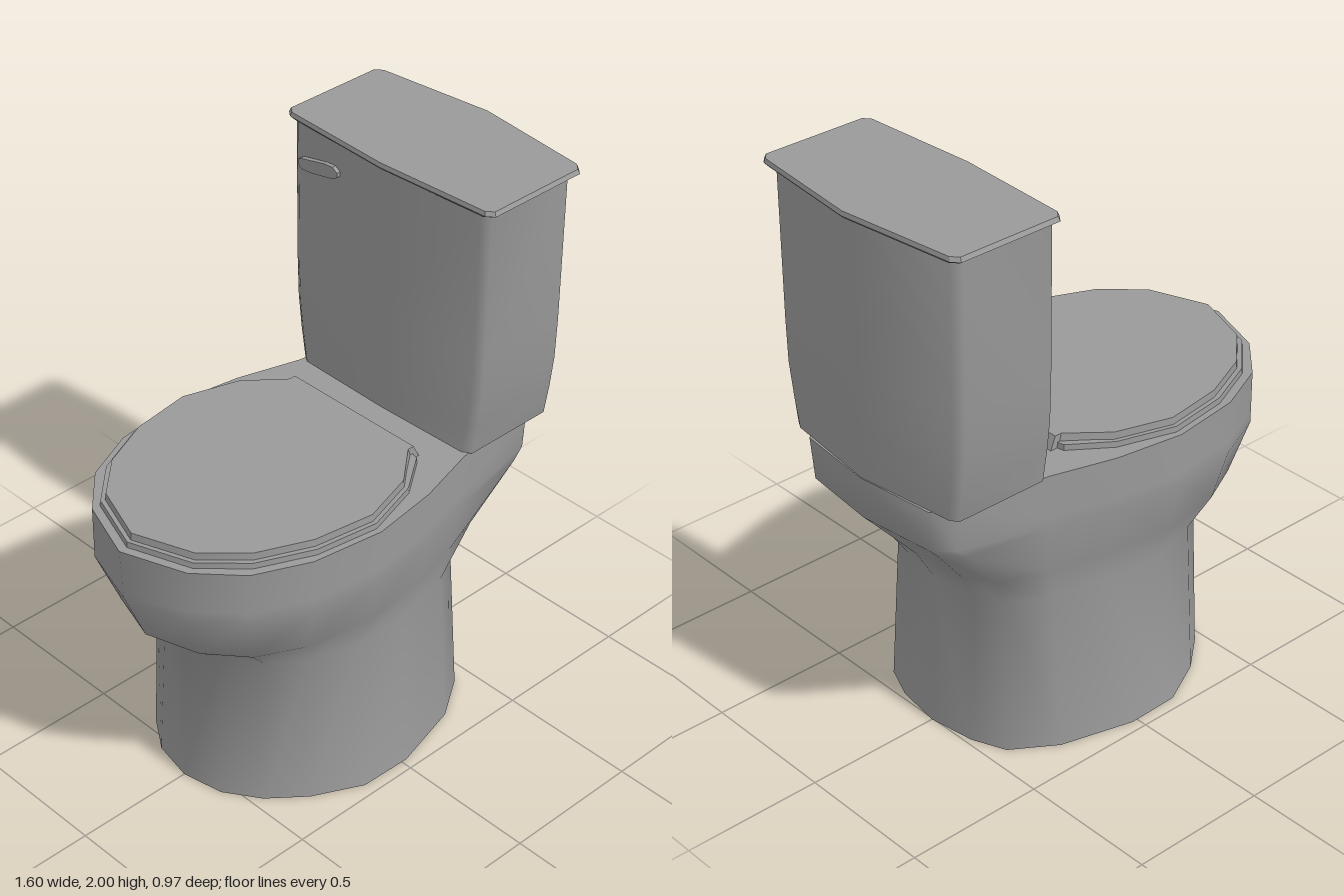
import * as THREE from 'three';
import { toCreasedNormals } from 'three/addons/utils/BufferGeometryUtils.js';

const material = new THREE.MeshStandardMaterial({ color: 0x999999, side: THREE.DoubleSide });

// Mirrors a half outline [x, z] (running from -x to +x on the +z side) into a closed loop
function fullLoop(half) {
  const back = half.slice(1, -1).reverse().map(([x, z]) => [x, -z]);
  return [...half, ...back];
}

// Skins a stack of { y, half } sections, with a top cap and an optional bottom cap
function loft(name, sections, { bottom = false, crease = 1.3 } = {}) {
  const rings = sections.map(({ y, half }) =>
    fullLoop(half).map(([x, z]) => new THREE.Vector3(x, y, z)));
  const n = rings[0].length;
  const points = [];
  const cap = (ring, up) => {
    const centre = new THREE.Vector3();
    ring.forEach((p) => centre.addScaledVector(p, 1 / n));
    for (let j = 0; j < n; j++) {
      const a = ring[j], b = ring[(j + 1) % n];
      points.push(centre, up ? a : b, up ? b : a);
    }
  };
  for (let i = 0; i < rings.length - 1; i++) {
    for (let j = 0; j < n; j++) {
      const k = (j + 1) % n;
      const a = rings[i][j], b = rings[i][k], c = rings[i + 1][k], d = rings[i + 1][j];
      // The diagonals mirror from one side to the other
      if (j < n / 2) points.push(a, b, c, a, c, d);
      else points.push(a, b, d, b, c, d);
    }
  }
  cap(rings[rings.length - 1], true);
  if (bottom) cap(rings[0], false);
  const geometry = new THREE.BufferGeometry().setFromPoints(points);
  const mesh = new THREE.Mesh(toCreasedNormals(geometry, crease), material);
  mesh.name = name;
  return mesh;
}

// Shrinks an outline about a point on the x axis
const inset = (half, s, cx) => half.map(([x, z]) => [cx + (x - cx) * s, z * s]);

export function createModel() {
  const model = new THREE.Group();
  model.name = 'toilet';

  // Pedestal flaring into the bowl, open underneath
  const foot = [[-.57, 0], [-.54, .15], [-.46, .27], [-.34, .37], [-.17, .455],
    [.02, .46], [.28, .39], [.43, .29], [.48, .17], [.505, 0]];
  const waist = [[-.54, 0], [-.51, .14], [-.44, .26], [-.33, .345], [-.15, .4],
    [.06, .395], [.28, .345], [.41, .265], [.455, .16], [.48, 0]];
  const belly = [[-.71, 0], [-.65, .19], [-.54, .32], [-.38, .4], [-.15, .44],
    [.09, .415], [.3, .36], [.46, .305], [.53, .2], [.55, 0]];
  const rim = [[-.8, 0], [-.72, .225], [-.59, .365], [-.4, .45], [-.145, .485],
    [.1, .45], [.33, .385], [.67, .342], [.735, .29], [.765, 0]];
  // Rim outline with its front and rear ends drawn in
  const rimTo = (front, rear) => [[front, 0], ...rim.slice(1, 7),
    [rear - .095, .338], [rear - .03, .28], [rear, 0]];
  model.add(loft('bowl', [
    { y: .005, half: foot },
    { y: .57, half: waist },
    { y: .69, half: belly },
    { y: .88, half: rimTo(-.79, .72) },
    { y: .92, half: rimTo(-.793, .757) },
    { y: 1.07, half: rim },
  ]));

  // Seat ring under the lid
  const seat = [[-.77, 0], [-.692, .22], [-.56, .348], [-.37, .432], [-.145, .464],
    [.06, .402], [.195, .305], [.2, .28], [.2, 0]];
  model.add(loft('seat', [
    { y: 1.065, half: seat },
    { y: 1.09, half: inset(seat, .995, -.2) },
  ], { crease: .5 }));

  // Closed lid, with a sloping rear edge
  const lid = [[-.755, 0], [-.678, .213], [-.547, .337], [-.363, .417], [-.145, .449],
    [.055, .388], [.195, .28], [.228, .28], [.228, 0]];
  const lidTop = [...inset(lid.slice(0, 6), .99, -.2), [.18, .277], [.205, .277], [.205, 0]];
  model.add(loft('seatLid', [
    { y: 1.068, half: lid },
    { y: 1.115, half: lidTop },
  ], { crease: .5 }));

  // Tank, bowed front and back, narrowing towards its foot
  const tankSection = (y, z, rear) => ({
    y, half: [[.332, 0], [.34, z - .03], [.36, z], [.7, z], [rear - .045, z - .03], [rear, 0]],
  });
  model.add(loft('tank', [
    tankSection(1.068, .39, .762),
    tankSection(1.18, .408, .766),
    tankSection(1.3, .422, .77),
    tankSection(1.45, .427, .77),
    tankSection(1.98, .43, .77),
  ], { bottom: true }));

  // Tank cover with bevelled edges
  const cover = [[.307, 0], [.33, .43], [.35, .455], [.728, .455], [.75, .43], [.797, 0]];
  model.add(loft('tankCover', [
    { y: 1.975, half: inset(cover, .965, .55) },
    { y: 1.985, half: cover },
    { y: 2, half: inset(cover, .985, .55) },
  ], { bottom: true, crease: .5 }));

  // Flush lever on the tank's bowl side
  const outline = new THREE.Shape([
    [-.385, 1.835], [-.37, 1.82], [-.33, 1.822], [-.225, 1.842], [-.205, 1.855],
    [-.205, 1.872], [-.225, 1.885], [-.26, 1.883], [-.37, 1.858], [-.385, 1.85],
  ].map(([z, y]) => new THREE.Vector2(z, y)));
  const leverGeometry = new THREE.ExtrudeGeometry(outline, { depth: .03, bevelEnabled: false });
  leverGeometry.rotateY(-Math.PI / 2);
  const lever = new THREE.Mesh(leverGeometry, material);
  lever.name = 'flushLever';
  lever.position.x = .352;
  model.add(lever);

  return model;
}
